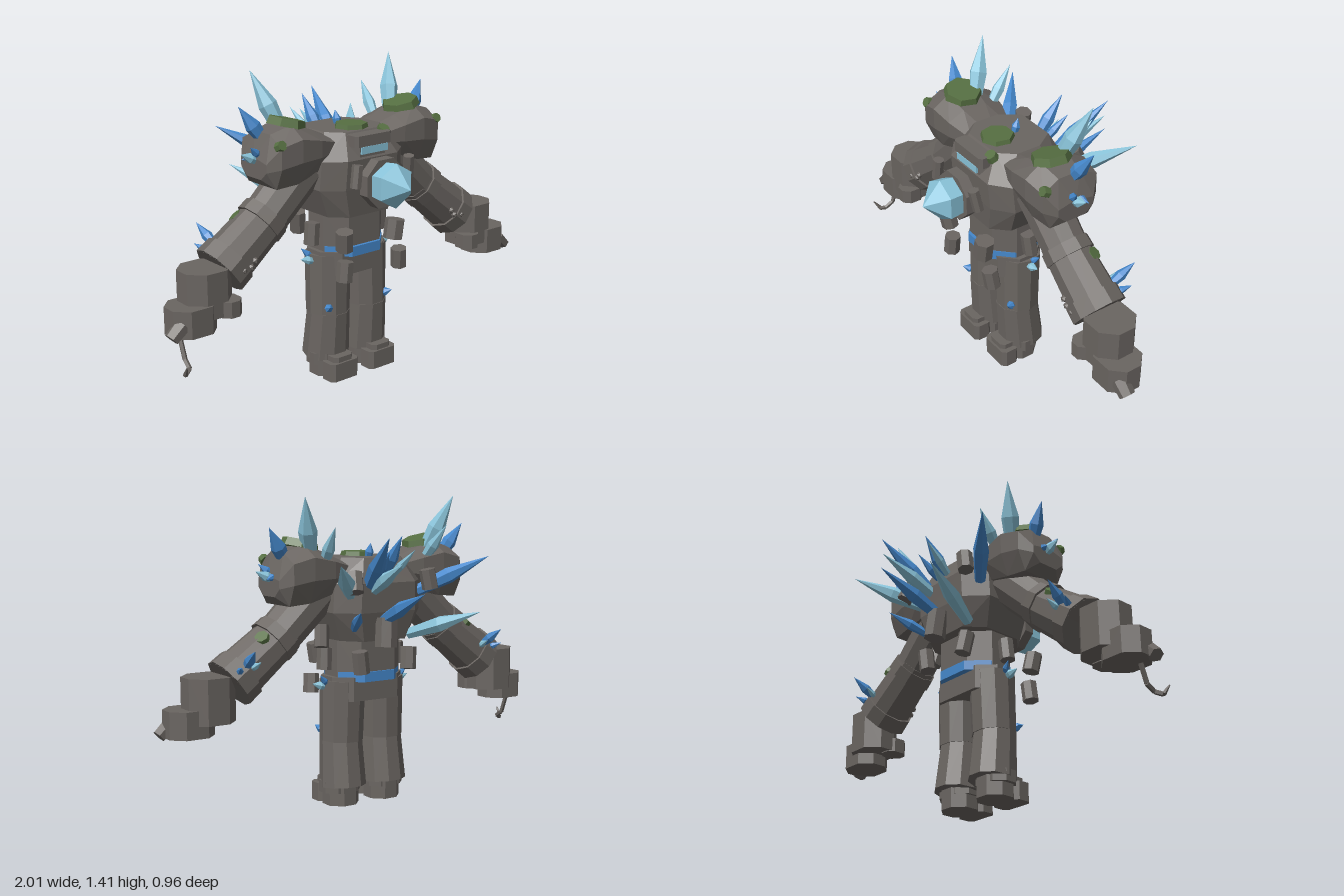
import * as THREE from 'three';
import { ConvexGeometry } from 'three/addons/geometries/ConvexGeometry.js';

const mat = (name, color) => {
  const m = new THREE.MeshStandardMaterial({ color, flatShading: true });
  m.name = name;
  return m;
};
const V = (a) => new THREE.Vector3(...a);
const UP = new THREE.Vector3(0, 1, 0);

export function createModel() {
  const root = new THREE.Group();
  root.name = 'crystalGolem';
  const stone = mat('stone', 0x6a6561);
  const ice = mat('paleCrystal', 0x8ac4da);
  const blue = mat('blueCrystal', 0x4588cc);
  const moss = mat('moss', 0x566f42);

  const add = (name, geo, material) => {
    const m = new THREE.Mesh(geo, material);
    m.name = name;
    root.add(m);
    return m;
  };
  // Tapered prism running from a to b
  const limb = (name, a, b, ra, rb, material = stone, sides = 8) => {
    const d = V(b).sub(V(a));
    const geo = new THREE.CylinderGeometry(rb, ra, d.length(), sides);
    geo.rotateY(Math.PI / sides);
    const m = add(name, geo, material);
    m.position.copy(V(a)).addScaledVector(d, 0.5);
    m.quaternion.setFromUnitVectors(UP, d.normalize());
    return m;
  };
  // Six-sided shard: narrow root, wide middle, sharp tip
  const crystal = (a, b, r, material) => {
    const d = V(b).sub(V(a)), h = d.length();
    const pts = [[0, 0], [r * 0.7, 0], [r, h * 0.45], [0, h]].map((p) => new THREE.Vector2(...p));
    const m = add('crystal', new THREE.LatheGeometry(pts, 6), material);
    m.position.set(...a);
    m.quaternion.setFromUnitVectors(UP, d.normalize());
  };
  // Upright eight-sided block with cut corners
  const block = (name, x0, x1, y0, y1, z0, z1, cut = 0.3) => {
    const pts = [];
    const w = (x1 - x0) / 2, d = (z1 - z0) / 2, c = cut * Math.min(w, d) * 2;
    for (const y of [y0, y1]) for (const sx of [-1, 1]) for (const sz of [-1, 1]) {
      pts.push(V([(x0 + x1) / 2 + sx * w, y, (z0 + z1) / 2 + sz * (d - c)]));
      pts.push(V([(x0 + x1) / 2 + sx * (w - c), y, (z0 + z1) / 2 + sz * d]));
    }
    return add(name, new ConvexGeometry(pts), stone);
  };
  // Floating chunk of rock
  const rock = (x, y, z, w, h, tilt) => {
    const m = add('looseRock', new THREE.CylinderGeometry(w / 2, w / 2, h, 7), stone);
    m.position.set(x, y, z);
    m.rotation.set(tilt * 0.6, tilt * 3, tilt);
  };
  const mossPatch = (x, y, z, r, h, rx = 0, rz = 0) => {
    const m = add('mossPatch', new THREE.CylinderGeometry(r * 0.9, r, h, 7), moss);
    m.position.set(x, y, z);
    m.rotation.set(rx, 0, rz);
  };

  // Torso: rings of [y, half width, back z, front z]
  const chest = [];
  for (const [y, w, zb, zf] of [[0.77, 0.18, -0.13, 0.215], [0.9, 0.235, -0.16, 0.23],
    [1.03, 0.23, -0.165, 0.24], [1.14, 0.16, -0.11, 0.17]]) {
    for (const s of [-1, 1]) {
      chest.push(V([s * w, y, zb + 0.09]), V([s * w, y, zf - 0.07]),
        V([s * w * 0.62, y, zb]), V([s * w * 0.62, y, zf]));
    }
  }
  add('chest', new ConvexGeometry(chest), stone);
  block('waist', -0.17, 0.17, 0.6, 0.78, -0.08, 0.185);
  block('hips', -0.19, 0.19, 0.49, 0.6, -0.06, 0.175);
  const belt = block('belt', -0.168, 0.168, 0.58, 0.625, -0.09, 0.2);
  belt.material = blue;

  // Head sunk into the chest
  block('head', -0.1, 0.1, 1.03, 1.13, 0.1, 0.235, 0.2);
  block('brow', -0.105, 0.105, 1.085, 1.135, 0.18, 0.25, 0.2);
  const visor = add('visor', new THREE.BoxGeometry(0.15, 0.032, 0.009), ice);
  visor.position.set(0, 1.07, 0.248);
  mossPatch(0, 1.145, 0.09, 0.08, 0.03);
  mossPatch(0.1, 1.13, 0.19, 0.03, 0.03, 0.5);

  // Chest core
  limb('corePlate', [0, 0.93, 0.275], [0, 0.93, 0.325], 0.115, 0.115);
  const core = add('coreGem', new THREE.LatheGeometry(
    [[0, 0], [0.09, 0], [0.1, 0.09], [0, 0.18]].map((p) => new THREE.Vector2(...p)), 6), ice);
  core.rotation.x = Math.PI / 2;
  core.position.set(0, 0.93, 0.3);

  for (const s of [-1, 1]) {
    // Shoulder boulder: slices along x as [x, bottom, top, back z, front z]
    const pts = [];
    for (const [x, y0, y1, zb, zf] of [[0.11, 1.03, 1.11, -0.06, 0.15], [0.24, 0.98, 1.165, -0.1, 0.185],
      [0.35, 0.95, 1.2, -0.11, 0.195], [0.45, 0.94, 1.17, -0.1, 0.18], [0.495, 0.98, 1.07, -0.05, 0.13]]) {
      const h = y1 - y0;
      pts.push(V([s * x, y0, zb + 0.04]), V([s * x, y0, zf - 0.04]), V([s * x, y0 + h * 0.4, zb]),
        V([s * x, y0 + h * 0.4, zf]), V([s * x, y1 - h * 0.2, zb]), V([s * x, y1 - h * 0.2, zf]),
        V([s * x, y1, zb + 0.09]), V([s * x, y1, zf - 0.08]));
    }
    add('shoulder', new ConvexGeometry(pts), stone);

    // Arm
    limb('upperArm', [s * 0.25, 0.99, 0.05], [s * 0.46, 0.79, 0.05], 0.105, 0.1, stone, 10);
    limb('forearm', [s * 0.42, 0.82, 0.05], [s * 0.69, 0.615, 0.05], 0.1, 0.117, stone, 10);
    limb('elbowBand', [s * 0.44, 0.81, 0.05], [s * 0.485, 0.775, 0.05], 0.11, 0.113, stone, 10);
    limb('wristBand', [s * 0.63, 0.66, 0.05], [s * 0.69, 0.615, 0.05], 0.123, 0.126, stone, 10);
    for (const [x, y, z] of [[0.6, 0.635, 0.155], [0.64, 0.63, 0.16], [0.58, 0.66, 0.155]]) {
      const m = add('pebble', new THREE.IcosahedronGeometry(0.016, 0), stone);
      m.position.set(s * x, y, z);
    }
    // Hand
    const span = (x0, x1) => (s > 0 ? [x0, x1] : [-x1, -x0]);
    block('palm', ...span(0.67, 0.89), 0.455, 0.655, -0.03, 0.17);
    block('knuckles', ...span(0.76, 0.97), 0.4, 0.52, 0, 0.18);
    block('thumb', ...span(0.66, 0.76), 0.45, 0.52, 0.08, 0.195);
    const finger = limb('fingertip', [s * 0.93, 0.455, 0.13], [s * 0.985, 0.405, 0.13], 0.035, 0.03, stone, 6);
    finger.scale.z = 1.2;

    // Leg and foot
    limb('thigh', [s * 0.11, 0.3, 0.06], [s * 0.105, 0.58, 0.055], 0.1, 0.105, stone, 10);
    limb('shin', [s * 0.112, 0.085, 0.045], [s * 0.11, 0.31, 0.065], 0.108, 0.098, stone, 10);
    block('ankle', ...span(0.025, 0.215), 0.06, 0.115, -0.01, 0.13);
    block('foot', ...span(0.035, 0.195), 0, 0.11, -0.02, 0.14);
    block('toes', ...span(0.035, 0.195), 0, 0.085, 0.11, 0.2, 0.2);
    block('toeCap', ...span(0.06, 0.17), 0.05, 0.11, 0.1, 0.19, 0.2);

    // Shoulder, arm, hip and knee crystals
    crystal([s * 0.31, 1.14, 0], [s * 0.4, 1.41, -0.11], 0.042, ice);
    crystal([s * 0.27, 1.11, -0.05], [s * 0.3, 1.28, -0.19], 0.028, ice);
    crystal([s * 0.42, 1.12, 0.02], [s * 0.525, 1.28, -0.02], 0.034, blue);
    crystal([s * 0.47, 1.05, 0.04], [s * 0.56, 1.09, 0.04], 0.024, ice);
    crystal([s * 0.47, 1.07, 0.05], [s * 0.53, 1.12, 0.07], 0.018, blue);
    crystal([s * 0.47, 1.07, 0.02], [s * 0.53, 1.055, 0], 0.016, blue);
    crystal([s * 0.65, 0.69, -0.03], [s * 0.67, 0.775, -0.15], 0.024, blue);
    crystal([s * 0.63, 0.68, -0.03], [s * 0.62, 0.72, -0.11], 0.016, ice);
    crystal([s * 0.68, 0.67, -0.03], [s * 0.715, 0.7, -0.1], 0.016, blue);
    crystal([s * 0.19, 0.55, 0.06], [s * 0.265, 0.57, 0.06], 0.02, ice);
    crystal([s * 0.19, 0.56, 0.05], [s * 0.24, 0.61, 0.03], 0.015, blue);
    crystal([s * 0.16, 0.33, 0.12], [s * 0.185, 0.355, 0.17], 0.02, blue);

    // Moss
    mossPatch(s * 0.33, 1.2, 0.05, 0.09, 0.035, 0, s * 0.25);
    mossPatch(s * 0.445, 1.13, 0.165, 0.025, 0.03, 1.1);
    mossPatch(s * 0.56, 0.81, -0.01, 0.035, 0.02, -0.5, -s * 0.6);

    // Loose rocks around the body
    rock(s * 0.15, 0.98, 0.305, 0.05, 0.1, s * 0.15);
    rock(s * 0.16, 0.54, 0.24, 0.075, 0.09, s * 0.12);
    rock(s * 0.2, 0.68, 0.06, 0.07, 0.1, s * 0.1);
    rock(s * 0.13, 0.68, -0.13, 0.075, 0.1, -s * 0.15);
    rock(s * 0.2, 1.04, -0.19, 0.075, 0.09, s * 0.3);
  }
  rock(0.12, 0.685, 0.25, 0.09, 0.09, -0.2);
  rock(-0.17, 0.685, 0.25, 0.08, 0.09, 0.15);
  rock(0.02, 0.81, -0.17, 0.1, 0.13, 0.1);
  rock(0.24, 0.79, 0.02, 0.07, 0.1, 0.2);

  // Back crystals: base, tip, radius, colour
  for (const [a, b, r, m] of [
    [[0.09, 1.0, -0.12], [0.16, 1.24, -0.39], 0.037, blue],
    [[0.02, 0.86, -0.14], [0.04, 1.005, -0.48], 0.034, blue],
    [[-0.14, 0.79, -0.12], [-0.28, 0.91, -0.46], 0.037, ice],
    [[0.17, 0.98, -0.11], [0.39, 1.13, -0.37], 0.037, ice],
    [[0.07, 0.99, -0.13], [0.11, 1.13, -0.42], 0.032, ice],
    [[-0.2, 0.98, -0.1], [-0.45, 1.14, -0.31], 0.037, blue],
    [[0, 1.06, -0.12], [0, 1.24, -0.26], 0.03, blue],
    [[-0.03, 1.05, -0.13], [-0.05, 1.18, -0.29], 0.02, ice],
    [[0.03, 1.05, -0.13], [0.06, 1.17, -0.25], 0.02, blue],
    [[0.15, 0.83, -0.11], [0.23, 0.92, -0.28], 0.024, blue],
    [[0, 1.13, 0], [0, 1.2, -0.02], 0.02, blue],
  ]) crystal(a, b, r, m);

  // Iron-like hook below the right hand
  const hook = [[-0.925, 0.38, 0.1], [-0.925, 0.3, 0.13], [-0.93, 0.275, 0.17],
    [-0.96, 0.26, 0.185], [-0.97, 0.305, 0.215]];
  for (let i = 0; i < hook.length - 1; i++) {
    limb('hook', hook[i], hook[i + 1], 0.011, i === 3 ? 0.003 : 0.011, stone, 5);
  }
  return root;
}
